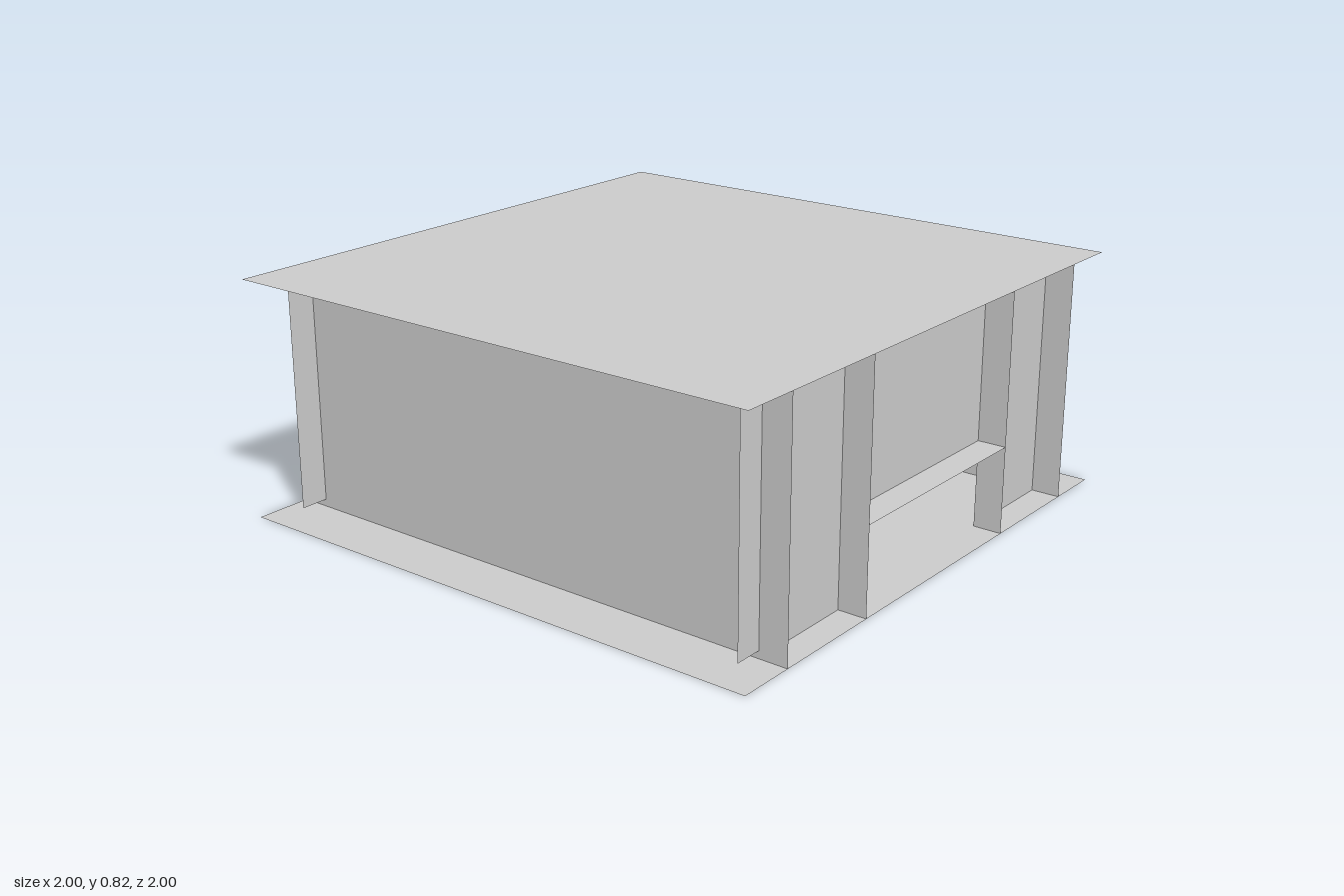
import * as THREE from 'three';

const H = 0.82;      // roof height
const WALL_X = 0.8;  // side walls
const WALL_Z = 0.9;  // end walls

export function createModel() {
  const model = new THREE.Group();
  model.name = 'openShelter';
  const material = new THREE.MeshStandardMaterial({ color: 0xcccccc, side: THREE.DoubleSide, flatShading: true });

  // Thin sheet perpendicular to an axis; a and b are [min, max] ranges on the other two axes
  function sheet(name, axis, at, a, b) {
    const w = a[1] - a[0], h = b[1] - b[0];
    const ca = (a[0] + a[1]) / 2, cb = (b[0] + b[1]) / 2;
    const geometry = new THREE.PlaneGeometry(w, h);
    const mesh = new THREE.Mesh(geometry, material);
    mesh.name = name;
    if (axis === 'x') { // a = z range, b = y range
      geometry.rotateY(Math.PI / 2);
      mesh.position.set(at, cb, ca);
    } else if (axis === 'y') { // a = x range, b = z range
      geometry.rotateX(-Math.PI / 2);
      mesh.position.set(ca, at, cb);
    } else { // a = x range, b = y range
      mesh.position.set(ca, cb, at);
    }
    model.add(mesh);
  }
  const span = (p, q) => [Math.min(p, q), Math.max(p, q)];

  // Floor and roof
  sheet('floor', 'y', 0, [-1, 1], [-1, 1]);
  sheet('roof', 'y', H, [-1, 1], [-1, 1]);

  // Side walls, with a ceiling rib and a narrow ledge inside
  for (const s of [-1, 1]) {
    sheet('sideWall', 'x', s * WALL_X, [-WALL_Z, WALL_Z], [0, H]);
    sheet('ceilingRib', 'x', s * 0.6, [-WALL_Z, WALL_Z], [H - 0.1, H]);
    sheet('innerLedge', 'y', 0.5, span(s * 0.7, s * WALL_X), [-WALL_Z, WALL_Z]);
  }

  // Identical front and back ends
  for (const e of [-1, 1]) {
    const z = e * WALL_Z, depth = span(z, e);
    sheet('lintelPanel', 'z', z, [-0.4, 0.4], [0.3, H]);
    sheet('lintelShelf', 'y', 0.3, [-0.4, 0.4], depth);
    for (const s of [-1, 1]) {
      sheet('endPanel', 'z', z, span(s * 0.4, s * WALL_X), [0, H]);
      sheet('cornerFlange', 'z', z, span(s * WALL_X, s * 0.9), [0.025, H]);
      for (const x of [0.4, WALL_X]) sheet('uprightFin', 'x', s * x, depth, [0, H]);
    }
  }
  return model;
}
